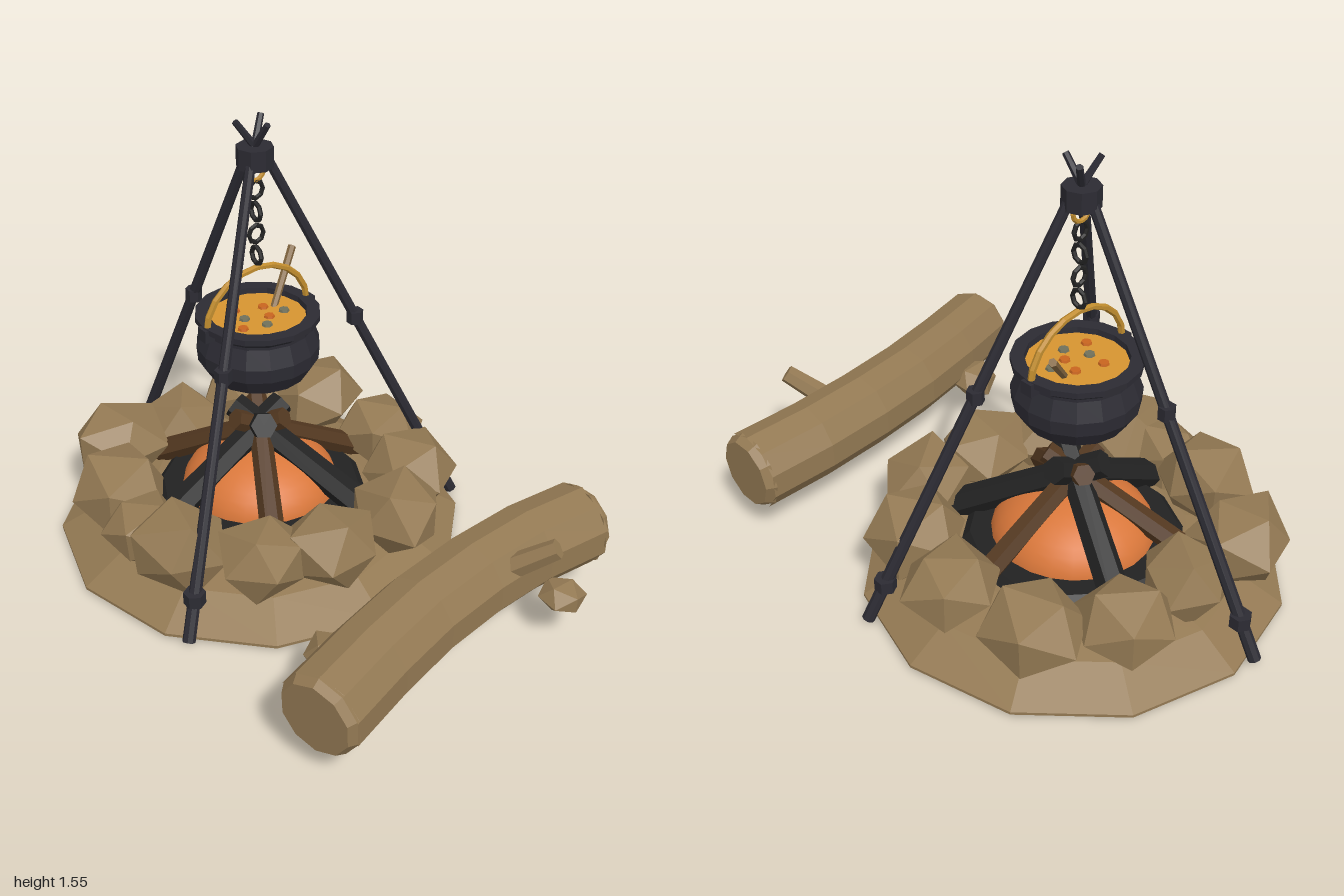
import * as THREE from 'three';

const flat = (name, color) => new THREE.MeshStandardMaterial({ name, color, flatShading: true });
const earth = flat('earthBrown', 0x937953);
const iron = flat('darkIron', 0x2c2b33);
const coal = flat('charcoal', 0x222222);
const wood = flat('darkWood', 0x533820);
const brass = flat('brass', 0xc08c2e);
const spoonWood = flat('spoonWood', 0x846740);
const herb = flat('herbGrey', 0x70705a);
const carrot = flat('carrotOrange', 0xc8641e);
const soupMat = flat('soupGold', 0xd69430);
const ember = new THREE.MeshStandardMaterial({ name: 'emberOrange', color: 0xd9773a });

const FIRE_Z = -0.26;
const V = (x, y, z) => new THREE.Vector3(x, y, z);

export function createModel() {
  const root = new THREE.Group();
  root.name = 'campfireWithCauldron';

  let seed = 7;
  const rand = () => (seed = (seed * 16807) % 2147483647) / 2147483647;

  const add = (parent, name, geo, mat, x = 0, y = 0, z = 0) => {
    const m = new THREE.Mesh(geo, mat);
    m.name = name;
    m.position.set(x, y, z);
    parent.add(m);
    return m;
  };
  // Tapered bar from a to b
  const rod = (parent, name, a, b, ra, rb, sides, mat) => {
    const d = b.clone().sub(a);
    const mid = a.clone().add(b).multiplyScalar(0.5);
    const m = add(parent, name, new THREE.CylinderGeometry(rb, ra, d.length(), sides), mat, mid.x, mid.y, mid.z);
    m.quaternion.setFromUnitVectors(V(0, 1, 0), d.normalize());
    return m;
  };
  // Icosahedron with each corner pushed in or out
  const rock = (r, rough) => {
    const g = new THREE.IcosahedronGeometry(r, 0);
    const p = g.attributes.position;
    const scale = {};
    const v = V(0, 0, 0);
    for (let i = 0; i < p.count; i++) {
      v.fromBufferAttribute(p, i);
      const key = [v.x, v.y, v.z].map((n) => Math.round(n * 1000)).join();
      scale[key] ??= 1 + (rand() - 0.5) * rough;
      v.multiplyScalar(scale[key]);
      p.setXYZ(i, v.x, v.y, v.z);
    }
    g.computeVertexNormals();
    return g;
  };

  // Everything in this group is centred on the fire
  const fire = new THREE.Group();
  fire.name = 'fireplace';
  fire.position.z = FIRE_Z;
  root.add(fire);

  // Earth mound, ash bed and glowing embers
  const mound = [[0, 0.01], [0.72, 0.01], [0.72, 0.02], [0.58, 0.105], [0.4, 0.15], [0, 0.15]]
    .map(([x, y]) => new THREE.Vector2(x, y));
  add(fire, 'groundMound', new THREE.LatheGeometry(mound, 12), earth);
  add(fire, 'ashBed', new THREE.CylinderGeometry(0.35, 0.385, 0.04, 14), coal, 0, 0.16, 0);
  add(fire, 'embers', new THREE.SphereGeometry(0.28, 24, 10, 0, Math.PI * 2, 0, Math.PI / 2), ember, 0, 0.16, 0)
    .scale.y = 0.66;

  // Ring of stones: x, z, radius
  const stones = [
    [-0.32, -0.46, 0.185], [-0.05, -0.45, 0.165], [0.24, -0.47, 0.17], [0.46, -0.3, 0.185],
    [0.52, 0.03, 0.17], [0.43, 0.31, 0.18], [0.23, 0.49, 0.18], [-0.04, 0.49, 0.175],
    [-0.27, 0.42, 0.172], [-0.46, 0.22, 0.185], [-0.51, 0.04, 0.155], [-0.47, -0.18, 0.182],
  ];
  for (const [x, z, r] of stones) {
    const s = add(fire, 'ringStone', rock(r, 0.26), earth, x, 0.09 + r * 0.73, z);
    s.scale.y = 0.78;
    s.rotation.y = rand() * 6;
  }

  // Teepee of firewood, plain and charred in turn
  [0.03, 1.07, 2.05, 3.1, 4.24, 5.14].forEach((a, i) => {
    const c = Math.cos(a), s = Math.sin(a);
    rod(fire, 'firewood', V(c * 0.43, 0.165, s * 0.43), V(-c * 0.1, 0.467, -s * 0.1),
      i % 2 ? 0.053 : 0.043, i % 2 ? 0.046 : 0.037, 6, i % 2 ? coal : wood);
  });

  // Tripod: legs meet the collar from outside, thin tips cross above it
  const tripod = new THREE.Group();
  tripod.name = 'tripod';
  fire.add(tripod);
  for (const foot of [V(-0.575, 0.01, 0.43), V(0.68, 0.01, 0.265), V(-0.1, 0.01, -0.72)]) {
    const out = V(foot.x, 0, foot.z).normalize();
    const top = out.clone().multiplyScalar(0.035).setY(1.42);
    rod(tripod, 'tripodLeg', foot, top, 0.022, 0.017, 8, iron);
    rod(tripod, 'legTip', out.clone().multiplyScalar(0.03).setY(1.41),
      out.clone().multiplyScalar(-0.062).setY(1.54), 0.014, 0.011, 6, iron);
    for (const [t, r] of [[0.56, 0.029], [0.095, 0.037]]) {
      const p = foot.clone().lerp(top, t);
      add(tripod, 'legBand', new THREE.CylinderGeometry(r, r, 0.045, 6), iron, p.x, p.y, p.z);
    }
  }
  add(tripod, 'tripodCollar', new THREE.CylinderGeometry(0.062, 0.062, 0.07, 8), iron, 0, 1.42, 0);

  // Hook and chain, links turned a quarter each time
  add(tripod, 'brassHook', new THREE.TorusGeometry(0.034, 0.008, 6, 12), brass, 0, 1.37, 0);
  for (let i = 0; i < 4; i++) {
    const link = add(tripod, 'chainLink', new THREE.TorusGeometry(0.028, 0.008, 6, 8), coal, 0, 1.305 - i * 0.078, 0);
    link.rotation.y = i % 2 ? Math.PI / 2 : 0;
    link.scale.y = 1.08;
  }

  // Cauldron with flared rim, hollow inside
  const pot = new THREE.Group();
  pot.name = 'cauldron';
  fire.add(pot);
  const profile = [
    [0, 0.6], [0.09, 0.6], [0.17, 0.64], [0.208, 0.70], [0.212, 0.75], [0.188, 0.815],
    [0.188, 0.825], [0.213, 0.845], [0.213, 0.865], [0.168, 0.865], [0.16, 0.8], [0, 0.78],
  ].map(([x, y]) => new THREE.Vector2(x, y));
  add(pot, 'cauldronBody', new THREE.LatheGeometry(profile, 16), iron);
  for (const s of [-1, 1]) {
    add(pot, 'handleLug', new THREE.BoxGeometry(0.036, 0.045, 0.045), iron, s * 0.204, 0.84, 0);
  }
  add(pot, 'bailHandle', new THREE.TorusGeometry(0.203, 0.012, 6, 10, Math.PI), brass, 0, 0.84, 0).scale.y = 0.92;

  // Soup with floating pieces and a spoon
  add(pot, 'soup', new THREE.CylinderGeometry(0.166, 0.16, 0.02, 16), soupMat, 0, 0.835, 0);
  for (let i = 0; i < 7; i++) {
    const a = i * 2.4 + 0.8, r = 0.04 + 0.011 * i;
    add(pot, 'soupPiece', new THREE.CylinderGeometry(0.017, 0.02, 0.01, 7), i % 2 ? herb : carrot,
      Math.cos(a) * r, 0.848, Math.sin(a) * r);
  }
  rod(pot, 'spoonHandle', V(0.05, 0.8, -0.005), V(0.225, 0.995, -0.118), 0.012, 0.014, 6, spoonWood);

  // Bent sitting log with bevelled ends
  const log = new THREE.Group();
  log.name = 'sittingLog';
  root.add(log);
  const path = new THREE.CatmullRomCurve3([
    V(-0.56, 0.233, 0.868), V(-0.12, 0.252, 0.732), V(0.35, 0.258, 0.658), V(0.668, 0.25, 0.655),
  ]);
  const R = 0.141;
  add(log, 'logTrunk', new THREE.TubeGeometry(path, 5, R, 10), earth);
  for (const [t, s] of [[0, -1], [1, 1]]) {
    const p = path.getPointAt(t);
    const d = path.getTangentAt(t).multiplyScalar(s);
    rod(log, 'logEnd', p.clone().addScaledVector(d, -0.01), p.clone().addScaledVector(d, 0.025), R, 0.122, 10, earth);
  }

  // Branch stub and knots
  rod(log, 'branchStub', V(0.25, 0.3, 0.745), V(0.355, 0.41, 0.865), 0.042, 0.033, 6, earth);
  add(log, 'frontKnot', rock(0.08, 0.15), earth, 0.43, 0.17, 0.835).scale.set(1, 0.65, 1);
  add(log, 'rearKnot', rock(0.092, 0.15), earth, -0.345, 0.18, 0.635).scale.set(1, 0.7, 1);

  return root;
}
